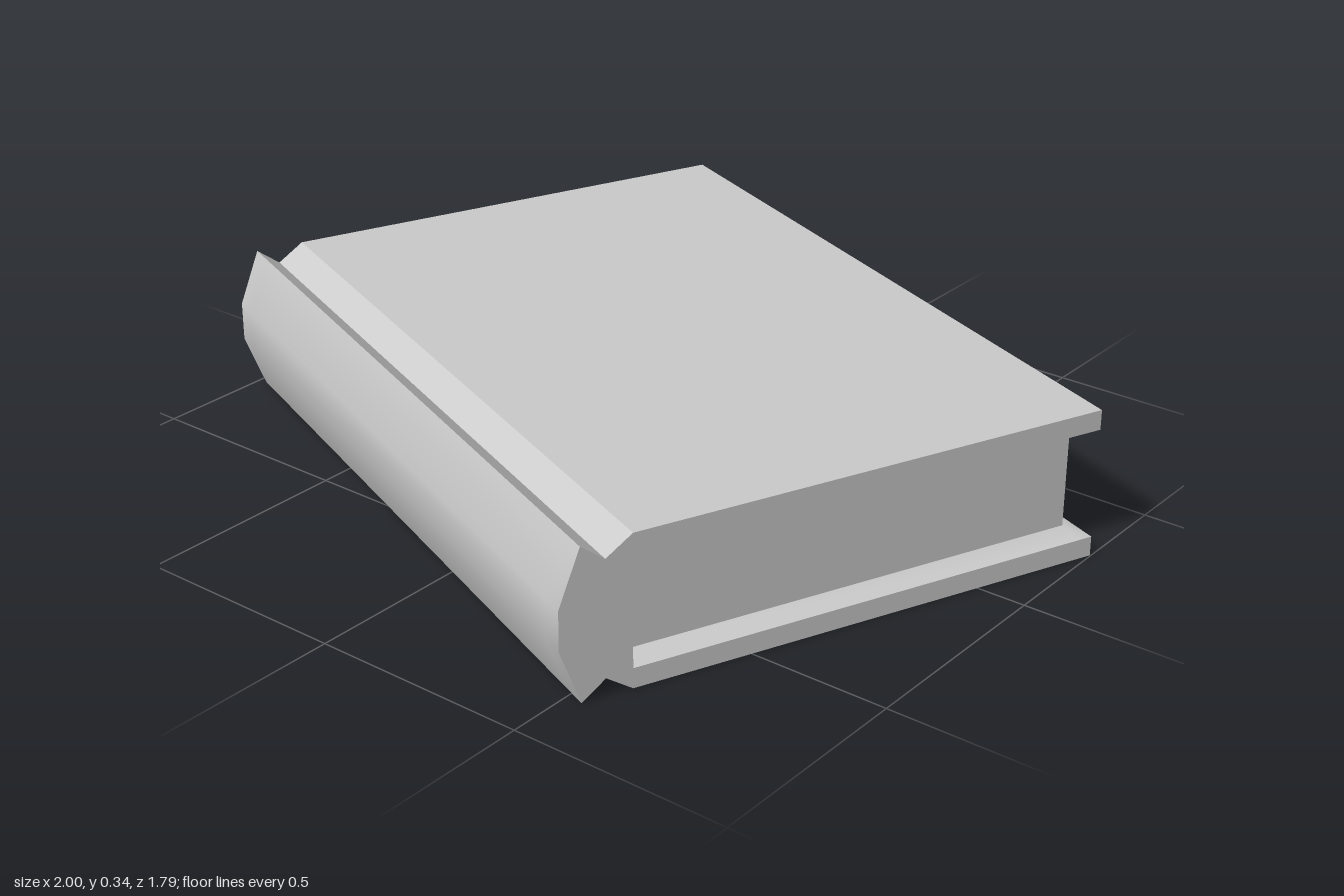
import * as THREE from 'three';
import { toCreasedNormals } from 'three/addons/utils/BufferGeometryUtils.js';

const HEIGHT = 0.34;
const HALF = 0.821;          // half length along the spine
const INSET = 0.055;         // pages set back from head and tail
const FORE = -0.627;         // fore edge of the covers
const PAGE_FORE = -0.592;    // fore edge of the pages
const HINGE = 0.468;         // inner wall behind the pages
const LIP = 0.295;           // cover underside at its rim
const INNER = 0.285;         // cover underside at the pages

// Upper half of the binding's section as [depth, height], from pages to spine
const HALF_SECTION = [
  [HINGE, INNER], [PAGE_FORE, INNER], [FORE, LIP], [FORE, HEIGHT],
  [HINGE, HEIGHT], [0.527, 0.3], [0.58, HEIGHT], [0.627, 0.215],
];

function bindingGeometry() {
  const lower = HALF_SECTION.map(([z, y]) => [z, HEIGHT - y]).reverse();
  const points = [...HALF_SECTION, ...lower].map(([z, y]) => new THREE.Vector2(z, y));
  const geometry = new THREE.ExtrudeGeometry(new THREE.Shape(points), {
    depth: 3, steps: 3, bevelEnabled: false,
  });

  // Space the four sections along the spine, and open the rim at both ends
  const stations = [-HALF, -HALF + INSET, HALF - INSET, HALF];
  const p = geometry.attributes.position;
  for (let i = 0; i < p.count; i++) {
    const k = Math.round(p.getZ(i));
    const y = p.getY(i);
    p.setZ(i, stations[k]);
    if (k === 0 || k === 3) {
      if (Math.abs(y - INNER) < 1e-4) p.setY(i, LIP);
      if (Math.abs(y - (HEIGHT - INNER)) < 1e-4) p.setY(i, HEIGHT - LIP);
    }
  }
  geometry.rotateY(-Math.PI / 2);
  return toCreasedNormals(geometry, 0.45);
}

export function createModel() {
  const material = new THREE.MeshStandardMaterial({ color: 0xcccccc });
  const model = new THREE.Group();
  model.name = 'book';

  // Covers, hinge grooves and rounded spine
  const binding = new THREE.Mesh(bindingGeometry(), material);
  binding.name = 'binding';

  // Page block
  const pages = new THREE.Mesh(
    new THREE.BoxGeometry(2 * (HALF - INSET), 2 * INNER - HEIGHT, HINGE - PAGE_FORE),
    material,
  );
  pages.name = 'pages';
  pages.position.set(0, HEIGHT / 2, (HINGE + PAGE_FORE) / 2);

  // The book lies turned on the ground
  const book = new THREE.Group();
  book.name = 'turnedBook';
  book.rotation.y = THREE.MathUtils.degToRad(-22.4);
  book.add(binding, pages);
  model.add(book);
  return model;
}
